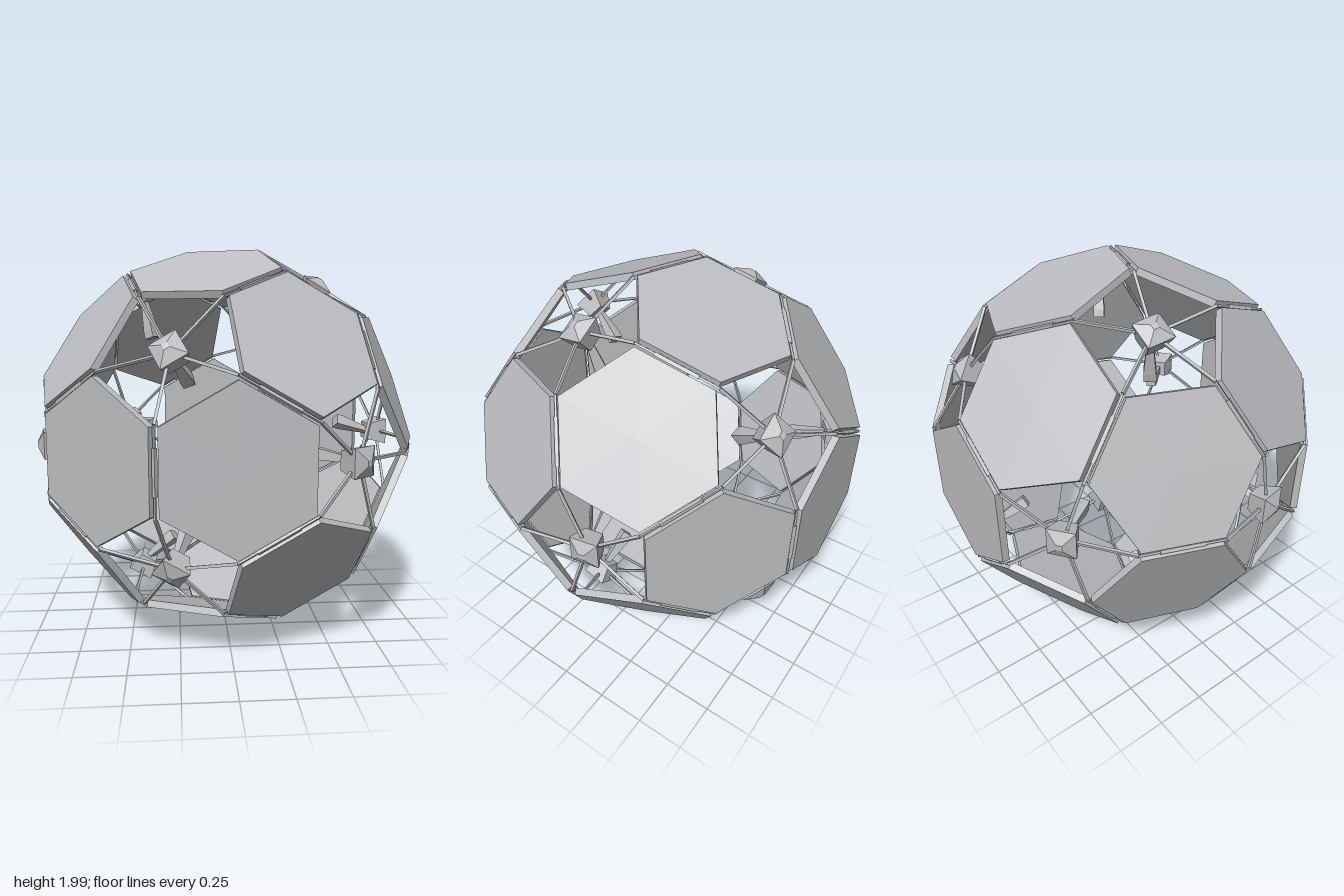
import * as THREE from 'three';

const PLATE_DIST = 0.937, PLATE_RADIUS = 0.387, PLATE_THICK = 0.035;
const CAGE = 1.155, NODE = 0.93;

export function createModel() {
  const model = new THREE.Group();
  const ball = new THREE.Group();
  ball.name = 'panelBall';
  ball.position.y = 1;
  model.add(ball);
  const grey = new THREE.MeshStandardMaterial({ color: 0xbcbdc0, flatShading: true });
  grey.name = 'paleGrey';

  // twelve hub directions, with a triangle of hubs around +z and -z
  const hubs = [];
  for (const [r, z, start] of [[0.607, 0.7947, 0], [0.9822, 0.1876, 60]]) {
    for (let i = 0; i < 3; i++) {
      const a = THREE.MathUtils.degToRad(start + i * 120);
      const v = new THREE.Vector3(r * Math.cos(a), r * Math.sin(a), z).normalize();
      hubs.push(v, v.clone().negate());
    }
  }
  const near = (i, j) => hubs[i].distanceTo(hubs[j]) < 1.1;

  function add(name, geometry, parent = ball) {
    const m = new THREE.Mesh(geometry, grey);
    m.name = name;
    parent.add(m);
    return m;
  }

  // square bar between two points
  function bar(name, a, b, r0, r1 = r0) {
    const d = b.clone().sub(a);
    const m = add(name, new THREE.CylinderGeometry(r1, r0, d.length(), 4));
    m.position.copy(a).add(b).multiplyScalar(0.5);
    m.quaternion.setFromUnitVectors(new THREE.Vector3(0, 1, 0), d.normalize());
    return m;
  }

  // local y along n, local z along u
  function orient(m, n, u) {
    const x = new THREE.Vector3().crossVectors(n, u);
    m.quaternion.setFromRotationMatrix(new THREE.Matrix4().makeBasis(x, n, u));
  }

  // twenty hexagonal panels
  const plateGeo = new THREE.CylinderGeometry(PLATE_RADIUS, PLATE_RADIUS, PLATE_THICK, 6);
  for (let i = 0; i < 12; i++) for (let j = i + 1; j < 12; j++) for (let k = j + 1; k < 12; k++) {
    if (!near(i, j) || !near(j, k) || !near(i, k)) continue;
    const centre = hubs[i].clone().add(hubs[j]).add(hubs[k]).divideScalar(3);
    const u = hubs[i].clone().lerp(hubs[j], 1 / 3).sub(centre).normalize();
    const n = centre.clone().normalize();
    const plate = add('hexPanel', plateGeo);
    plate.position.copy(n).multiplyScalar(PLATE_DIST - PLATE_THICK / 2);
    orient(plate, n, u);
  }

  // struts from hub to opening corner, and thin links between panels
  for (let i = 0; i < 12; i++) for (let j = i + 1; j < 12; j++) {
    if (!near(i, j)) continue;
    const p = hubs[i].clone().lerp(hubs[j], 1 / 3).multiplyScalar(CAGE);
    const q = hubs[j].clone().lerp(hubs[i], 1 / 3).multiplyScalar(CAGE);
    bar('hubStrut', hubs[i].clone().multiplyScalar(NODE), p, 0.01);
    bar('hubStrut', hubs[j].clone().multiplyScalar(NODE), q, 0.01);
    bar('panelLink', p, q, 0.007);
    bar('panelHinge', p.clone().lerp(q, 0.24), p.clone().lerp(q, 0.76), 0.012);
  }

  // hub blocks: tapered body with a flared stem pointing inward
  const bodyGeo = new THREE.CylinderGeometry(0.1, 0.065, 0.1, 4);
  const capGeo = new THREE.CylinderGeometry(0.02, 0.1, 0.03, 4);
  const zAxis = new THREE.Vector3(0, 0, 1);
  for (const h of hubs) {
    const u = zAxis.clone().addScaledVector(h, -h.z).normalize();
    u.applyAxisAngle(h, Math.PI / 4);
    const hub = new THREE.Group();
    hub.name = 'hub';
    hub.position.copy(h).multiplyScalar(NODE - 0.02);
    orient(hub, h, u);
    ball.add(hub);
    add('hubBody', bodyGeo, hub);
    add('hubCap', capGeo, hub).position.y = 0.065;

    const inward = h.clone().negate();
    if (Math.abs(h.z) < 0.4) inward.applyAxisAngle(zAxis, Math.sign(h.z) * 0.31);
    const base = h.clone().multiplyScalar(NODE - 0.06);
    const tip = base.clone().addScaledVector(inward, 0.17);
    bar('hubStem', base, tip, 0.02, 0.042);
    bar('stemTip', tip, tip.clone().addScaledVector(inward, 0.04), 0.042);
  }
  return model;
}
